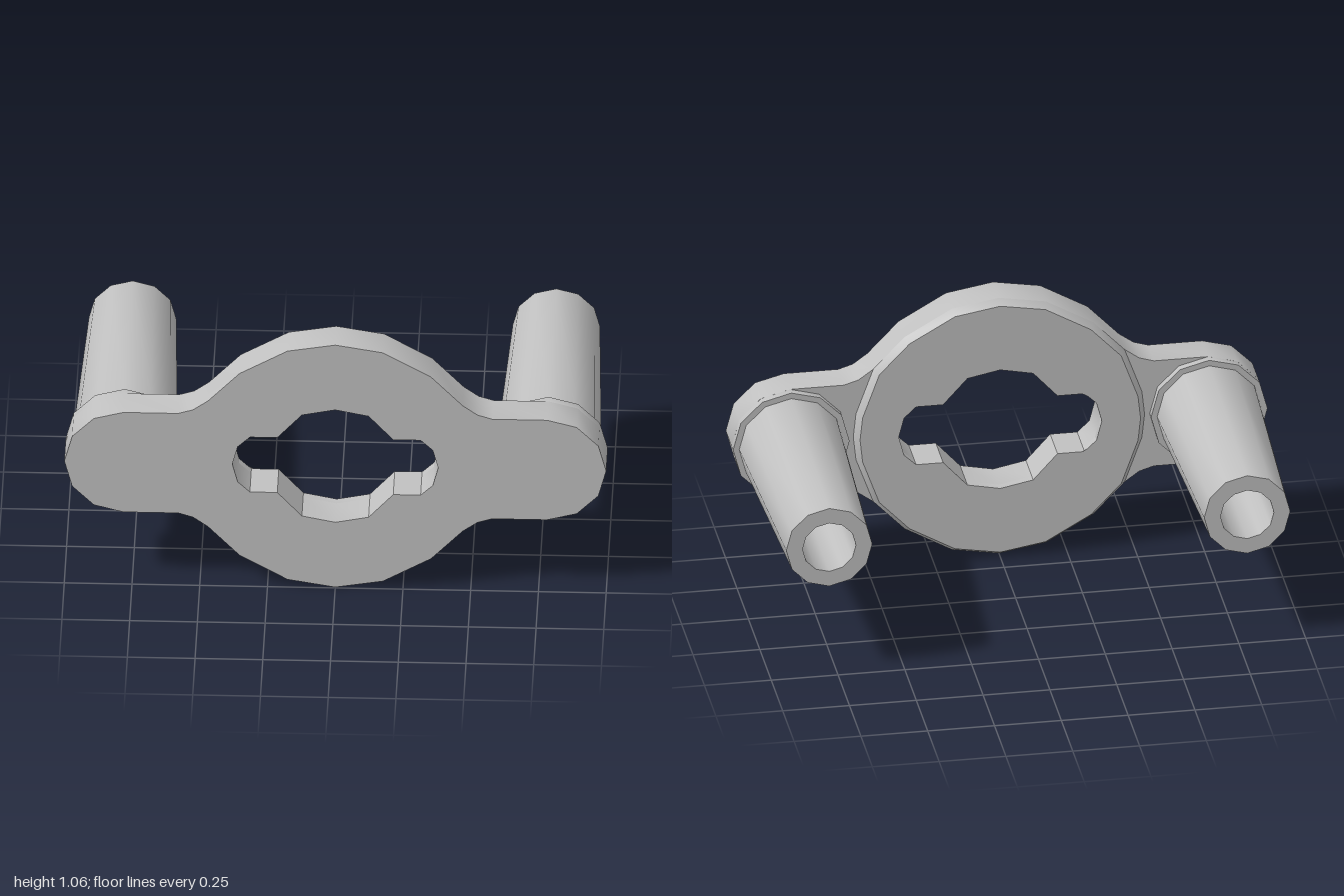
import * as THREE from 'three';
import { toCreasedNormals } from 'three/addons/utils/BufferGeometryUtils.js';

const CY = 0.53;        // height of the centre line
const FRONT = 0.495;    // front face of the plate
const STEP = 0.365;     // recessed back face between hub and bosses
const BACK = 0.335;     // raised back face of hub and bosses
const POST_X = 0.782;

// Mirrors a quarter outline, running from the +x axis to the +y axis, into a closed loop.
function mirrorQuarter(quarter) {
  const half = [...quarter, ...quarter.slice(0, -1).reverse().map(([x, y]) => [-x, y])];
  const lower = half.slice(1, -1).reverse().map(([x, y]) => [x, -y]);
  return [...half, ...lower].map(([x, y]) => new THREE.Vector2(x, y));
}

const hubQuarter = [[0.535, 0.095], [0.47, 0.275], [0.353, 0.398], [0.176, 0.5], [0, 0.53]];
const plateQuarter = [
  [1, 0], [0.971, 0.109], [0.891, 0.189], [POST_X, 0.218],
  [0.58, 0.218], [0.525, 0.235], ...hubQuarter.slice(1),
];
const holeQuarter = [[0.38, 0], [0.36, 0.077], [0.315, 0.12], [0.214, 0.12], [0.123, 0.221], [0, 0.246]];

// Flat slab with the keyed opening, spanning z0 to z1.
function slab(outline, z0, z1) {
  const shape = new THREE.Shape(outline);
  shape.holes.push(new THREE.Path(mirrorQuarter(holeQuarter)));
  const geo = new THREE.ExtrudeGeometry(shape, { depth: z1 - z0, bevelEnabled: false });
  geo.translate(0, 0, z0);
  return geo;
}

export function createModel() {
  const group = new THREE.Group();
  const grey = new THREE.MeshStandardMaterial({ color: 0xc0c0c0 });
  grey.name = 'grey';

  const add = (name, geo, crease, x = 0) => {
    const mesh = new THREE.Mesh(toCreasedNormals(geo, crease), grey);
    mesh.name = name;
    mesh.position.set(x, CY, 0);
    group.add(mesh);
  };

  // Base plate with rounded wings
  add('plate', slab(mirrorQuarter(plateQuarter), STEP, FRONT), 0.6);

  // Raised hub on the back; its outer rim tapers in to form a chamfer
  const hubOutline = mirrorQuarter([[0.545, 0], ...hubQuarter]);
  const hub = slab(hubOutline, BACK, STEP);
  const pos = hub.attributes.position;
  for (let i = 0; i < pos.count; i++) {
    const x = pos.getX(i), y = pos.getY(i);
    if (pos.getZ(i) < BACK + 0.01 && Math.hypot(x, y) > 0.45) {
      pos.setXY(i, x * 0.963, y * 0.963);
    }
  }
  add('hub', hub, 0.45);

  // Boss and tapered hollow post, turned around the z axis
  const profile = [
    [0.218, STEP], [0.218, BACK], [0.195, BACK], [0.161, -FRONT],
    [0.1, -FRONT], [0.1, BACK], [0, BACK],
  ].map(([r, z]) => new THREE.Vector2(r, -z));
  for (const [name, side] of [['leftPost', 1], ['rightPost', -1]]) {
    const post = new THREE.LatheGeometry(profile, 12);
    post.rotateX(-Math.PI / 2);
    add(name, post, 0.6, side * POST_X);
  }

  return group;
}
